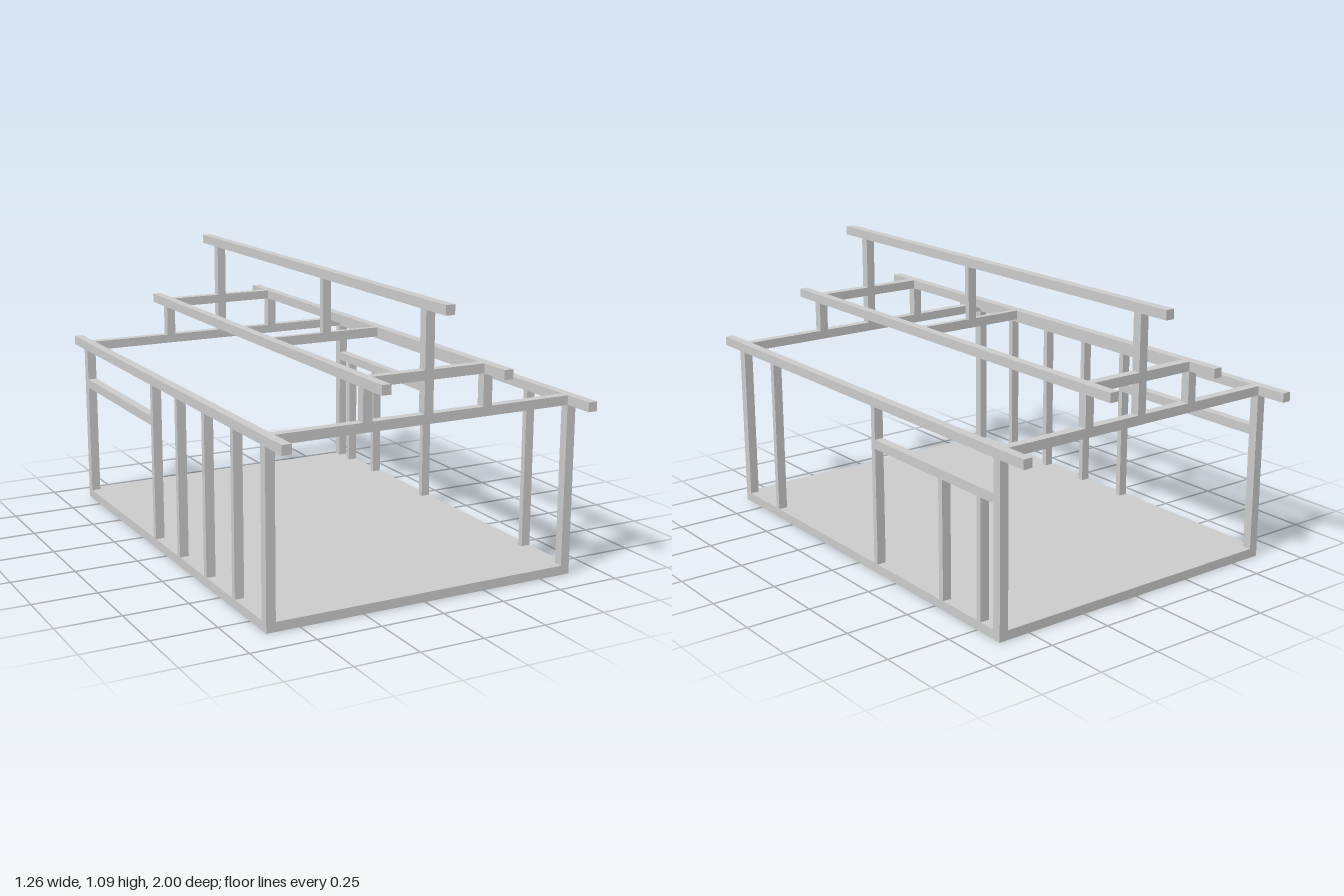
import * as THREE from 'three';

const material = new THREE.MeshStandardMaterial({ color: 0xcccccc, flatShading: true });

export function createModel() {
  const model = new THREE.Group();
  model.name = 'timberHouseFrame';

  // Box given by its min/max extent on each axis
  function bar(name, [x0, x1], [y0, y1], [z0, z1]) {
    const mesh = new THREE.Mesh(new THREE.BoxGeometry(x1 - x0, y1 - y0, z1 - z0), material);
    mesh.position.set((x0 + x1) / 2, (y0 + y1) / 2, (z0 + z1) / 2);
    mesh.name = name;
    model.add(mesh);
  }
  const around = (c, w) => [c - w / 2, c + w / 2];

  const T = 0.036;          // main timber thickness
  const S = 0.023;          // thin stud thickness
  const wallX = 0.611, purlinX = 0.243, endZ = 0.859;
  const eave = [0.654, 0.69], purlin = [0.81, 0.846], ridge = [1.056, 1.092];
  const inX = wallX - T / 2, inZ = endZ - T / 2;

  // Floor panel set flush with the top of the sills
  bar('floor', [-inX, inX], [0.03, T], [-inZ, inZ]);

  // Lengthwise roof beams overhanging both ends
  bar('ridgeBeam', around(0, T), ridge, [-1, 1]);
  for (const side of [-1, 1]) {
    bar('eaveBeam', around(side * wallX, T), eave, [-1, 1]);
    bar('purlin', around(side * purlinX, T), purlin, [-1, 1]);
    bar('sideSill', around(side * wallX, T), [0, T], [-inZ, inZ]);
  }

  // Front and back end frames
  for (const end of [-1, 1]) {
    const z = around(end * endZ, T);
    bar('endSill', [-wallX - T / 2, wallX + T / 2], [0, T], z);
    bar('tieBeam', [-inX, inX], eave, z);
    for (const side of [-1, 1]) {
      bar('cornerPost', around(side * wallX, T), [T, eave[0]], z);
      bar('purlinPost', around(side * purlinX, T), [eave[1], purlin[0]], z);
      const a = side * T / 2, b = side * (purlinX - T / 2);
      bar('collarBeam', [Math.min(a, b), Math.max(a, b)], purlin, z);
    }
    bar('ridgePost', around(0, T), [eave[1], ridge[0]], z);
  }

  // Thin middle collar with its ridge stud
  bar('middleCollar', [-purlinX + T / 2, purlinX - T / 2], purlin, around(0.122, S));
  bar('middleRidgeStud', around(0, T), [purlin[1], ridge[0]], around(0.122, S));

  // Full-height wall studs, different on each side
  const studs = { '-1': [0.615, 0.37, 0.122, -0.119], '1': [0.615, -0.119] };
  for (const side of [-1, 1]) {
    const x = around(side * wallX, T);
    for (const z of studs[side]) bar('wallStud', x, [T, eave[0]], around(z, S));
    bar('windowRail', x, [0.493, 0.529], [-inZ, -0.119 - S / 2]);
  }

  // Short studs under the rail on the left wall
  for (const z of [-0.538, -0.759]) {
    bar('shortStud', around(wallX, T), [T, 0.493], around(z, S));
  }

  return model;
}
